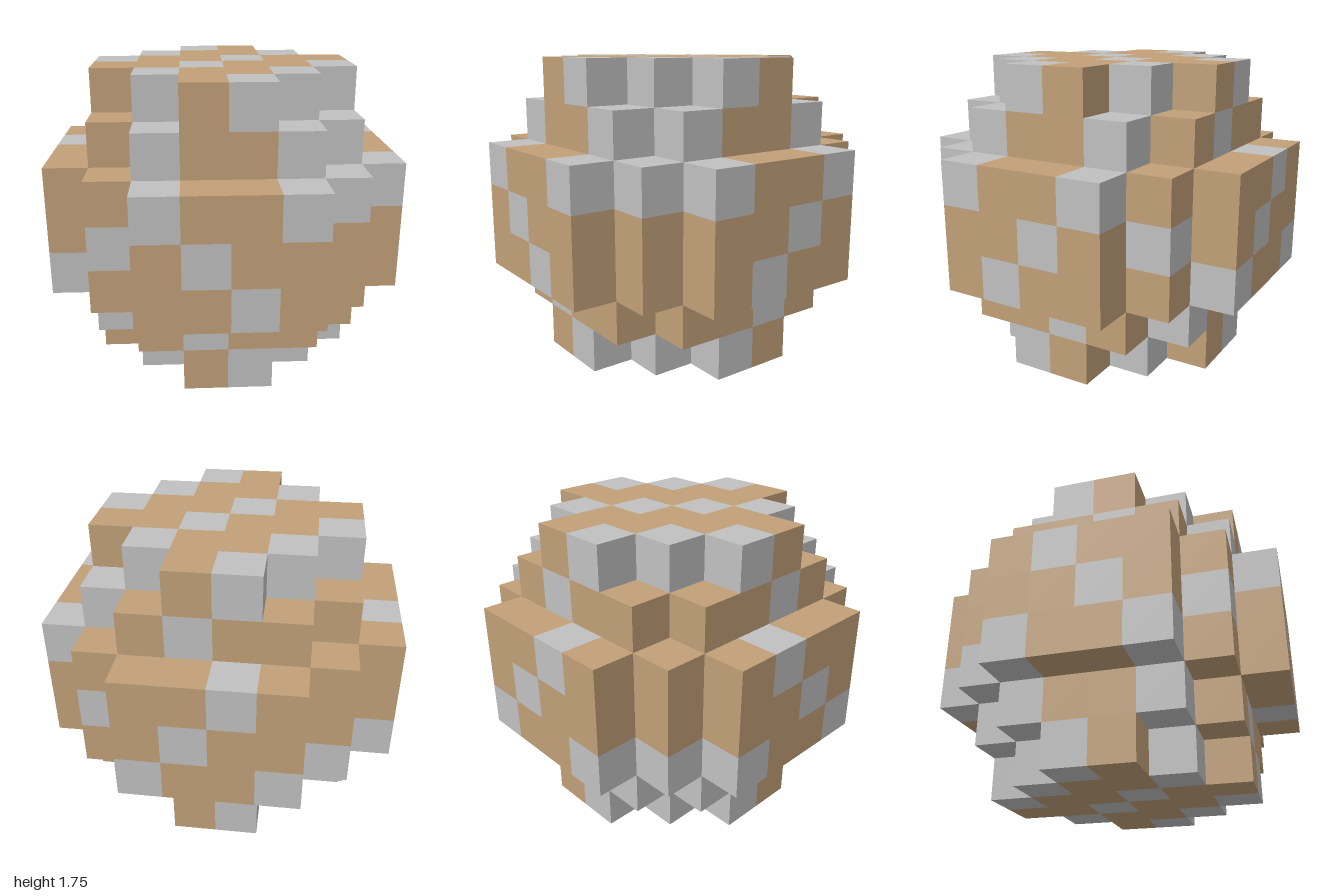
import * as THREE from 'three';
import { mergeGeometries } from 'three/addons/utils/BufferGeometryUtils.js';

const CELL = 0.25;   // block edge
const RADIUS = 4;    // ball radius in blocks
const COLS = 8, LAYERS = 7;

// Block centre measured from the middle of the ball, in blocks
const centre = (i, j, k) => new THREE.Vector3(i - 3.5, j - 3, k - 3.5);
const filled = (i, j, k) =>
  j >= 0 && j < LAYERS && centre(i, j, k).lengthSq() <= RADIUS * RADIUS;

// Every third diagonal is grey
const isGrey = (i, j, k) => (i + j + k) % 3 === 1;

// The six outward directions of a block, each with the turn that aims a plane that way
const SIDES = [
  [1, 0, 0, 0, Math.PI / 2], [-1, 0, 0, 0, -Math.PI / 2],
  [0, 1, 0, -Math.PI / 2, 0], [0, -1, 0, Math.PI / 2, 0],
  [0, 0, 1, 0, 0], [0, 0, -1, 0, Math.PI],
];

// Exposed faces of one block
function blockFaces(i, j, k) {
  const c = centre(i, j, k).multiplyScalar(CELL);
  return SIDES
    .filter(([dx, dy, dz]) => !filled(i + dx, j + dy, k + dz))
    .map(([dx, dy, dz, rx, ry]) => new THREE.PlaneGeometry(CELL, CELL)
      .rotateX(rx).rotateY(ry)
      .translate(c.x + dx * CELL / 2, c.y + dy * CELL / 2 + LAYERS * CELL / 2, c.z + dz * CELL / 2));
}

export function createModel() {
  const model = new THREE.Group();
  model.name = 'blockBall';
  const tan = new THREE.MeshStandardMaterial({ name: 'tan', color: 0xc1a078 });
  const grey = new THREE.MeshStandardMaterial({ name: 'grey', color: 0xc0c0c0 });

  // One group per horizontal layer, split into tan and grey blocks
  for (let j = 0; j < LAYERS; j++) {
    const faces = { tan: [], grey: [] };
    for (let i = 0; i < COLS; i++) {
      for (let k = 0; k < COLS; k++) {
        if (filled(i, j, k)) faces[isGrey(i, j, k) ? 'grey' : 'tan'].push(...blockFaces(i, j, k));
      }
    }
    const layer = new THREE.Group();
    layer.name = `layer${j + 1}`;
    for (const [list, material, name] of [[faces.tan, tan, 'tanBlocks'], [faces.grey, grey, 'greyBlocks']]) {
      if (!list.length) continue;
      const mesh = new THREE.Mesh(mergeGeometries(list), material);
      mesh.name = name;
      layer.add(mesh);
    }
    model.add(layer);
  }
  return model;
}
